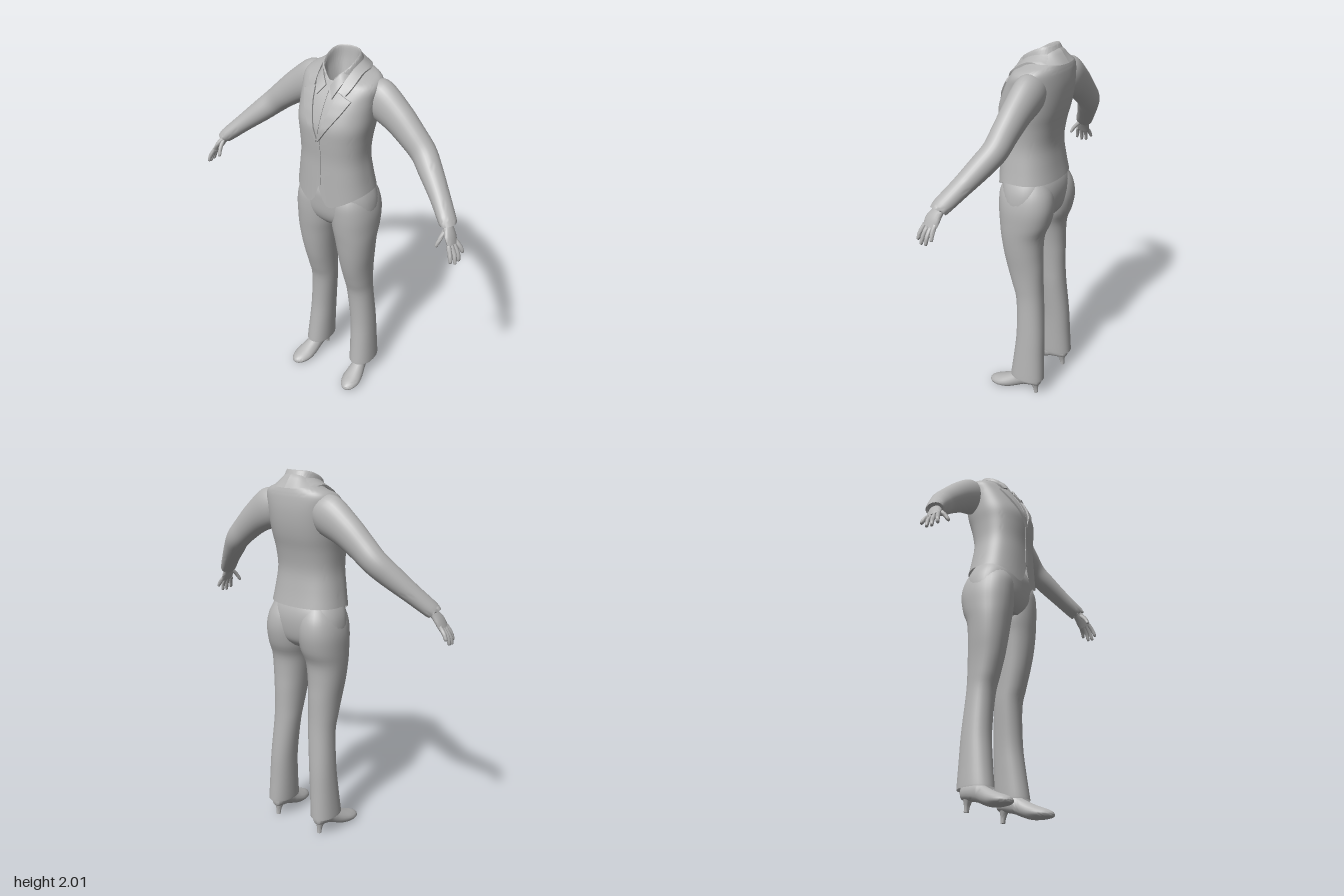
import * as THREE from 'three';
import { toCreasedNormals } from 'three/addons/utils/BufferGeometryUtils.js';

const clay = new THREE.MeshStandardMaterial({ color: 0xb4b4b4, side: THREE.DoubleSide });
clay.name = 'plain grey';
const V = (x, y, z) => new THREE.Vector3(x, y, z);

// Catmull-Rom interpolation between rows of numbers
function smooth(rows, steps) {
  const out = [];
  for (let i = 0; i < rows.length - 1; i++) {
    const [a, b, c, d] = [-1, 0, 1, 2].map(k => rows[Math.min(rows.length - 1, Math.max(0, i + k))]);
    for (let s = 0; s < steps; s++) {
      const t = s / steps;
      out.push(b.map((v, k) => {
        const cubic = 3 * (v - c[k]) + d[k] - a[k];
        const square = 2 * a[k] - 5 * v + 4 * c[k] - d[k];
        return v + 0.5 * t * (c[k] - a[k] + t * (square + t * cubic));
      }));
    }
  }
  out.push(rows[rows.length - 1]);
  return out;
}

// Skin over closed rings of points, with optional end caps
function loft(name, rings, capStart, capEnd, crease) {
  const n = rings[0].length, pts = rings.flat(), index = [];
  for (let i = 0; i < rings.length - 1; i++) {
    for (let j = 0; j < n; j++) {
      const a = i * n + j, b = i * n + (j + 1) % n;
      index.push(a, a + n, b, b, a + n, b + n);
    }
  }
  const cap = (ring, start, flip) => {
    pts.push(ring.reduce((s, p) => s.add(p), V(0, 0, 0)).divideScalar(n));
    for (let j = 0; j < n; j++) {
      const a = start + j, b = start + (j + 1) % n;
      if (flip) index.push(pts.length - 1, b, a);
      else index.push(pts.length - 1, a, b);
    }
  };
  if (capStart) cap(rings[0], 0, false);
  if (capEnd) cap(rings[rings.length - 1], (rings.length - 1) * n, true);
  let geo = new THREE.BufferGeometry().setFromPoints(pts);
  geo.setIndex(index);
  geo.computeVertexNormals();
  if (crease) geo = toCreasedNormals(geo, crease);
  const mesh = new THREE.Mesh(geo, clay);
  mesh.name = name;
  return mesh;
}

// Superellipse in unit coordinates
const power = (v, n) => Math.sign(v) * Math.abs(v) ** (2 / n);
const ellipse = (count, n, place) => Array.from({ length: count }, (_, j) => {
  const a = j / count * Math.PI * 2;
  return place(power(Math.cos(a), n), power(Math.sin(a), n));
});

// Tube along points; each row is x, y, z, thickness, width (width lies along z)
function limb(name, rows, count, steps = 4) {
  const r = smooth(rows, steps);
  const at = i => V(...r[Math.max(0, Math.min(r.length - 1, i))].slice(0, 3));
  const rings = r.map((p, i) => {
    const d = at(i + 1).sub(at(i - 1)).normalize();
    const v = V(0, 0, 1).addScaledVector(d, -d.z).normalize();
    const u = d.clone().cross(v);
    return ellipse(count, 2, (c, s) => at(i).addScaledVector(u, c * p[3]).addScaledVector(v, s * p[4]));
  });
  return loft(name, rings, true, true, 0.9);
}

// Jacket body: back y, front y, half width, front z, back z
const body = [
  [1.315, 1.315, .21, .165, -.155], [1.40, 1.40, .195, .162, -.14], [1.5, 1.5, .181, .16, -.13],
  [1.6, 1.6, .186, .166, -.145], [1.68, 1.68, .197, .166, -.166], [1.75, 1.75, .202, .142, -.178],
  [1.82, 1.81, .207, .112, -.182], [1.88, 1.85, .21, .085, -.177], [1.912, 1.875, .188, .07, -.169],
  [1.935, 1.89, .13, .062, -.16], [1.955, 1.897, .10, .058, -.148], [2.0, 1.925, .085, .055, -.125],
  [1.998, 1.92, .077, .046, -.116], [1.94, 1.87, .07, .036, -.108], [1.86, 1.82, .05, .02, -.09]];
const bodyN = 2.4;

// Hem height of the jacket front by distance from the middle
const hemLine = [[0, 1.35], [.02, 1.28], [.045, 1.245], [.07, 1.237], [.13, 1.268], [.21, 1.315]];
function hemY(x) {
  const i = Math.max(1, hemLine.findIndex(p => p[0] >= Math.min(x, .21)));
  const [a, b] = [hemLine[i - 1], hemLine[i]];
  return a[1] + (b[1] - a[1]) * Math.min(1, (x - a[0]) / (b[0] - a[0]));
}

// Front surface of the jacket at x, y
function frontZ(x, y) {
  const i = Math.max(1, body.findIndex(r => r[1] >= y));
  const t = (y - body[i - 1][1]) / (body[i][1] - body[i - 1][1]);
  const [, , hx, zf, zb] = body[i - 1].map((v, k) => v + (body[i][k] - v) * t);
  const q = Math.max(0, 1 - Math.abs(x / hx) ** bodyN) ** (1 / bodyN);
  return (zf + zb) / 2 + (zf - zb) / 2 * q;
}

function jacketBody() {
  const rings = smooth(body, 4).map(([yb, yf, hx, zf, zb], row) => ellipse(80, bodyN, (c, s) => {
    const x = c * hx, z = (zf + zb) / 2 + s * (zf - zb) / 2;
    let y = yb + (yf - yb) * ((s + 1) / 2) ** 1.7;
    if (s > 0) {
      y += (hemY(Math.abs(x)) - 1.315) * Math.max(0, 1 - (yb - 1.315) / .12);
      if (row > 38) y -= .045 * Math.exp(-((x / .03) ** 2)) * Math.min(1, (row - 38) / 6);
    }
    return V(x, y, z);
  }));
  return loft('jacketBody', rings, false, true, 0.9);
}

// Cloth strip between two edges; rows are inner x, y, z and outer x, y, z
function strip(name, rows, thick, steps, lift = null) {
  const rings = smooth(rows, steps).map(r => {
    const top = Array.from({ length: 6 }, (_, k) => {
      const p = V(...r.slice(0, 3)).lerp(V(...r.slice(3)), k / 5);
      if (lift !== null) p.z = frontZ(p.x, p.y) + lift;
      return p;
    });
    return [...top, ...top.map(p => V(p.x, p.y - thick / 2, p.z - thick)).reverse()];
  });
  return loft(name, rings, true, true, 0.7);
}

// Mirrored copy on the other side, with the corner order restored
function mirrored(mesh) {
  const geo = mesh.geometry.index ? mesh.geometry.toNonIndexed() : mesh.geometry.clone();
  geo.scale(-1, 1, 1);
  for (const a of Object.values(geo.attributes)) {
    for (let i = 0; i < a.count; i += 3) {
      const p = [a.getX(i), a.getY(i), a.getZ(i)];
      a.setXYZ(i, a.getX(i + 1), a.getY(i + 1), a.getZ(i + 1));
      a.setXYZ(i + 1, ...p);
    }
  }
  const copy = new THREE.Mesh(geo, clay);
  copy.name = mesh.name.replace('left', 'right');
  return copy;
}

export function createModel() {
  const model = new THREE.Group();
  model.name = 'suitFigure';
  model.add(jacketBody());

  // Hips
  const hips = [[1.085, .08, .09, -.10], [1.12, .18, .118, -.135], [1.17, .222, .135, -.152],
    [1.24, .222, .141, -.158], [1.30, .204, .14, -.148], [1.36, .17, .12, -.12]];
  model.add(loft('trouserHips', smooth(hips, 4).map(([y, hx, zf, zb]) => ellipse(48, 2.3, (c, s) =>
    V(c * hx, y, (zf + zb) / 2 + s * (zf - zb) / 2))), true, true));

  // Jacket front edge and shirt placket
  model.add(strip('jacketFrontEdge', [[-.004, 1.62, 0, .012, 1.62, 0], [0, 1.5, 0, .016, 1.5, 0],
    [-.002, 1.36, 0, .012, 1.36, 0]], .006, 4, .003));
  model.add(strip('shirtPlacket', [[-.008, 1.85, 0, .012, 1.85, 0], [-.006, 1.74, 0, .01, 1.74, 0],
    [-.003, 1.63, 0, .004, 1.63, 0]], .006, 4, .004));

  const left = [];
  // Trouser leg: y, inner x, outer x, front z, back z
  const leg = [[.17, .105, .215, .035, -.125], [.12, .093, .227, .052, -.142], [.115, .09, .23, .055, -.145],
    [.25, .084, .221, .038, -.14], [.4, .075, .211, .025, -.135], [.6, .055, .198, .032, -.12],
    [.7, .048, .2, .058, -.115], [.8, .04, .207, .086, -.113], [.9, .03, .219, .106, -.11],
    [1.0, .016, .228, .12, -.116], [1.08, -.002, .232, .13, -.148], [1.17, -.008, .231, .136, -.165],
    [1.25, 0, .214, .132, -.155], [1.32, .02, .18, .10, -.12]];
  left.push(loft('leftTrouserLeg', smooth(leg, 4).map(([y, xi, xo, zf, zb]) => ellipse(32, 2.2, (c, s) =>
    V((xi + xo) / 2 + c * (xo - xi) / 2, y, (zf + zb) / 2 + s * (zf - zb) / 2))), true, true));

  // Shoe: z, centre x, half width, sole y, top y
  const shoe = [[-.128, .157, .012, .075, .11], [-.118, .157, .03, .06, .14], [-.08, .158, .038, .052, .15],
    [-.03, .16, .038, .04, .15], [.01, .166, .042, .022, .12], [.06, .174, .052, .004, .09],
    [.11, .18, .056, 0, .066], [.155, .184, .044, .002, .048], [.18, .186, .024, .006, .034],
    [.188, .186, .006, .012, .024]];
  left.push(loft('leftShoe', smooth(shoe, 4).map(([z, x, w, y0, y1]) => ellipse(24, 2.5, (c, s) =>
    V(x + s * w * (c > 0 ? 1 - .3 * c : 1), (y0 + y1) / 2 + c * (y1 - y0) / 2, z))), true, true, 0.9));
  left.push(limb('leftShoeHeel', [[.157, 0, -.1, .013, .012], [.157, .035, -.096, .016, .016],
    [.157, .085, -.088, .032, .034]], 14));

  // Sleeve and cuff
  left.push(limb('leftSleeve', [[.13, 1.825, -.08, .07, .065], [.19, 1.80, -.08, .104, .076],
    [.30, 1.735, -.076, .087, .07], [.39, 1.665, -.07, .074, .065], [.465, 1.60, -.062, .066, .062],
    [.53, 1.54, -.028, .06, .059], [.62, 1.458, .026, .048, .052], [.706, 1.377, .084, .038, .048],
    [.709, 1.374, .086, .03, .038]], 28, 5));

  // Hand
  left.push(limb('leftPalm', [[.685, 1.397, .072, .02, .028], [.713, 1.362, .09, .019, .03],
    [.738, 1.325, .107, .017, .041], [.757, 1.29, .115, .013, .038]], 16));
  const digits = {
    leftIndexFinger: [[.752, 1.297, .145], [.772, 1.26, .159], [.782, 1.226, .168]],
    leftMiddleFinger: [[.757, 1.293, .126], [.782, 1.25, .135], [.793, 1.212, .142]],
    leftRingFinger: [[.757, 1.293, .106], [.785, 1.252, .11], [.796, 1.215, .113]],
    leftLittleFinger: [[.752, 1.302, .087], [.781, 1.27, .083], [.795, 1.243, .079]],
    leftThumb: [[.712, 1.357, .108], [.706, 1.318, .145], [.698, 1.284, .165]]
  };
  for (const [name, [a, b, c]] of Object.entries(digits)) {
    const r = .011, tip = c.map((v, k) => v + (v - b[k]) * .14);
    left.push(limb(name, [[...a, r, r], [...b, r, r], [...c, r * .75, r * .75], [...tip, r * .2, r * .2]], 10, 3));
  }

  // Jacket collar, lapel and shirt collar
  left.push(strip('leftJacketCollar', [[0, 1.988, -.135, 0, 1.93, -.178], [.055, 1.982, -.118, .075, 1.932, -.163],
    [.087, 1.968, -.065, .128, 1.938, -.09], [.088, 1.945, -.005, .132, 1.93, -.02],
    [.08, 1.905, .05, .128, 1.885, .055], [.07, 1.862, .094, .108, 1.848, .088]], .012, 5));
  left.push(strip('leftLapel', [[.07, 1.855, 0, .14, 1.826, 0], [.052, 1.78, 0, .108, 1.765, 0],
    [.027, 1.7, 0, .06, 1.69, 0], [0, 1.62, 0, .006, 1.61, 0]], .012, 5, .011));
  left.push(strip('leftShirtCollar', [[.08, 1.962, -.02, .09, 1.935, -.015], [.05, 1.928, .05, .074, 1.89, .066],
    [.012, 1.872, .08, .046, 1.825, .113]], .008, 4));

  left.forEach(m => model.add(m, mirrored(m)));
  return model;
}
